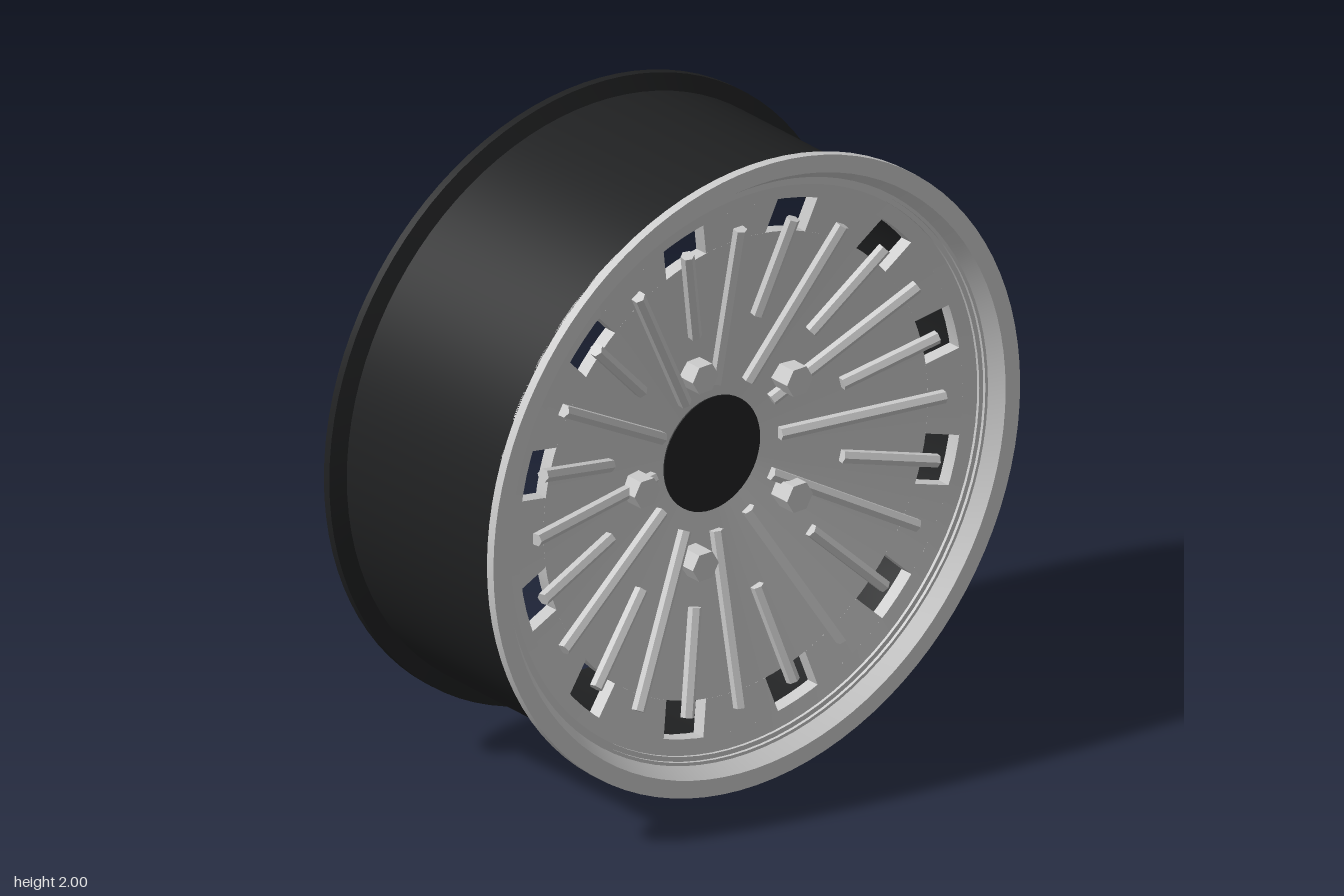
import * as THREE from 'three';
import { toCreasedNormals } from 'three/addons/utils/BufferGeometryUtils.js';

const grey = new THREE.MeshStandardMaterial({ color: 0xcccccc });
const greyFlat = new THREE.MeshStandardMaterial({ color: 0xcccccc, flatShading: true });
const black = new THREE.MeshStandardMaterial({ color: 0x202122 });

// Wheel frame while building: axle along z, outer face towards +z.
const SLOPE = 0.205;
const faceZ = (r) => 0.19 + (r - 0.18) * SLOPE; // dished front surface
const THICK = 0.045;
const WIN_IN = 0.73, WIN_OUT = 0.842, WIN_HALF = 0.078;

function add(parent, name, geometry, material) {
  const mesh = new THREE.Mesh(geometry, material);
  mesh.name = name;
  parent.add(mesh);
  return mesh;
}

// Closed [radius, z] profile, counter-clockwise, spun around the axle
function ring(profile) {
  const pts = [...profile, profile[0]].map(([r, z]) => new THREE.Vector2(r, z));
  const g = new THREE.LatheGeometry(pts, 96);
  g.rotateX(Math.PI / 2);
  return toCreasedNormals(g, 0.5);
}

// Box wrapped into the dished plate; angles(r) gives the two end angles
function plateBlock(r0, r1, angles, segments) {
  const g = new THREE.BoxGeometry(1, 1, 1, segments, 1, 1);
  const p = g.attributes.position;
  for (let i = 0; i < p.count; i++) {
    const r = r0 + (p.getY(i) + 0.5) * (r1 - r0);
    const [a0, a1] = angles(r);
    const a = a1 + (p.getX(i) + 0.5) * (a0 - a1);
    p.setXYZ(i, r * Math.cos(a), r * Math.sin(a), faceZ(r) + (p.getZ(i) - 0.5) * THICK);
  }
  g.computeVertexNormals();
  return g;
}

export function createModel() {
  const model = new THREE.Group();
  model.name = 'wheel';
  const wheel = new THREE.Group();
  wheel.name = 'wheelAssembly';
  wheel.rotation.y = Math.PI / 2; // axle onto x
  wheel.position.y = 1;
  model.add(wheel);

  // Black barrel with the rear flange
  add(wheel, 'barrel', ring([
    [0.90, 0.335], [0.90, -0.37], [0.91, -0.39], [0.93, -0.40],
    [0.985, -0.40], [0.985, -0.375], [0.935, -0.355], [0.935, 0.335],
  ]), black);

  // Front lip with stepped inner edge
  add(wheel, 'frontLip', ring([
    [0.89, 0.30], [0.935, 0.30], [0.935, 0.335], [1, 0.37], [1, 0.40],
    [0.945, 0.40], [0.915, 0.355], [0.905, 0.355], [0.905, 0.345], [0.89, 0.345],
  ]), grey);

  // Dished face plate: inner and outer rings joined by bridges between windows
  const plate = new THREE.Group();
  plate.name = 'facePlate';
  wheel.add(plate);
  const full = () => [0, Math.PI * 2];
  add(plate, 'innerPlate', plateBlock(0.17, WIN_IN, full, 96), grey);
  add(plate, 'outerPlate', plateBlock(WIN_OUT, 0.905, full, 96), grey);
  for (let i = 0; i < 12; i++) {
    const mid = i * Math.PI / 6;
    const bridge = (r) => {
      const half = Math.PI / 12 - Math.asin(WIN_HALF / r);
      return [mid - half, mid + half];
    };
    add(plate, 'windowBridge', plateBlock(WIN_IN, WIN_OUT, bridge, 8), grey);
  }

  // Ribs: long between windows, short ones reaching into them
  for (let i = 0; i < 24; i++) {
    const long = i % 2 === 0;
    const [r0, r1] = long ? [0.24, 0.775] : [0.455, 0.775];
    const tilt = Math.atan(SLOPE);
    const mid = (r0 + r1) / 2;
    const g = new THREE.CylinderGeometry(0.021, 0.021, (r1 - r0) / Math.cos(tilt), 6);
    g.rotateX(tilt);
    g.translate(0, mid, faceZ(mid) + 0.012);
    g.rotateZ(i * Math.PI / 12);
    add(wheel, long ? 'longRib' : 'shortRib', g, greyFlat);
  }

  // Hexagonal wheel bolts
  for (let i = 0; i < 5; i++) {
    const a = Math.PI + i * Math.PI * 2 / 5;
    const g = new THREE.CylinderGeometry(0.049, 0.049, 0.1, 6, 1, false, Math.PI / 6);
    g.rotateX(Math.PI / 2);
    g.translate(0.32 * Math.cos(a), 0.32 * Math.sin(a), 0.235);
    add(wheel, 'bolt', g, greyFlat);
  }

  // Black centre cap
  const cap = new THREE.CylinderGeometry(0.182, 0.182, 0.045, 48);
  cap.rotateX(Math.PI / 2);
  cap.translate(0, 0, 0.172);
  add(wheel, 'centreCap', cap, black);

  return model;
}
